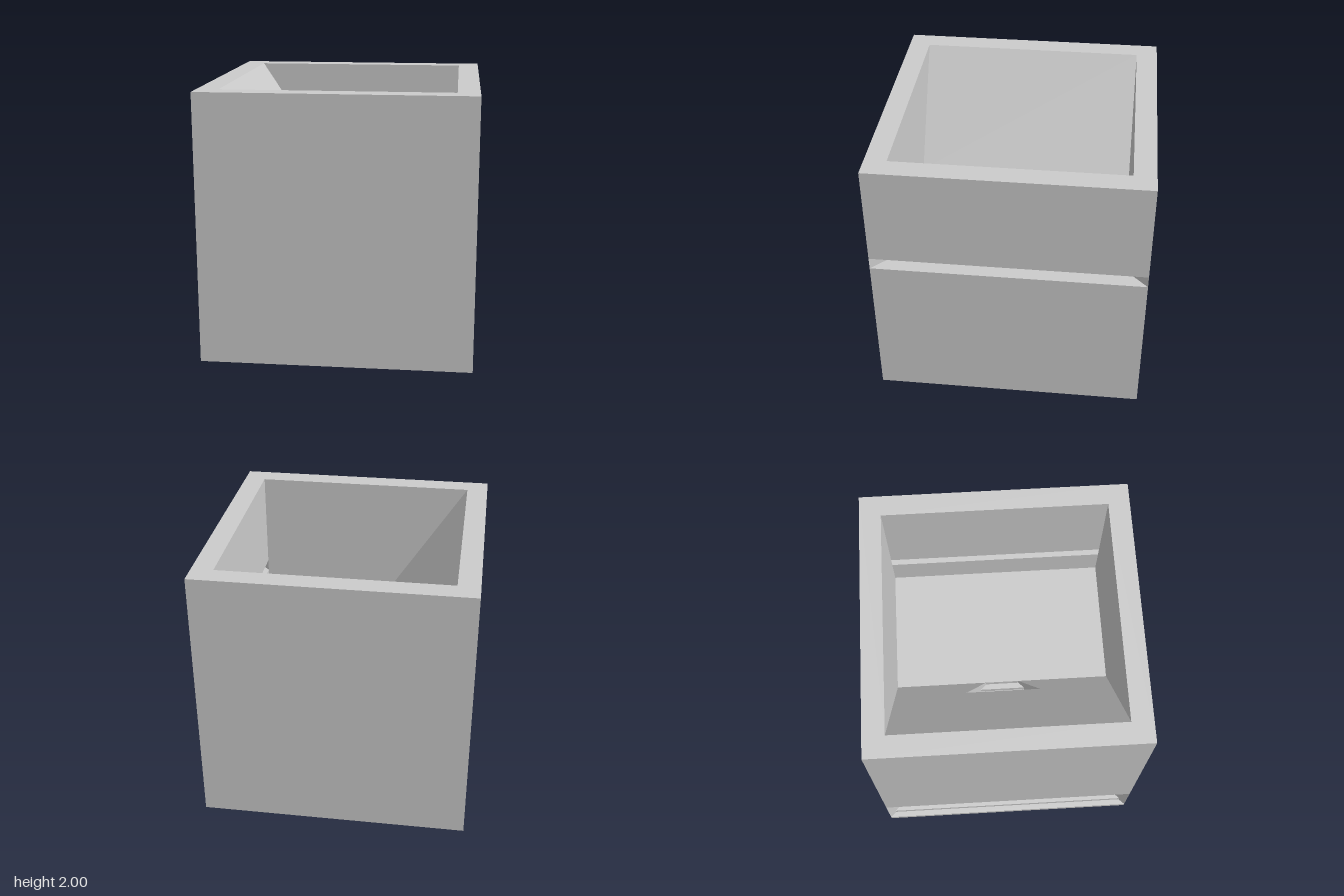
import * as THREE from 'three';

const W = 0.84;                       // half width of the inner chamber
const STEPS = 20, FOOT = -0.13;       // stair runs from x = -1 to FOOT
const R = (1 + FOOT) / STEPS;         // tread depth = riser height
const FLOOR = R * (STEPS + 1);
const DOOR = 0.437;                   // height of the stair opening
const SLOT0 = 1.16, SLOT1 = 1.25;     // slot in the +x wall
const slope = (2 - FLOOR) / (FOOT + W);
const rampY = x => 2 - slope * (x + W);
// where the 45 degree stair ceiling meets the ramp
const XC = (2 - slope * W - DOOR - 1) / (1 + slope);
const YC = rampY(XC);

// Flat convex faces; each is [facing direction, corner, corner, ...]
function part(name, faces) {
  const pos = [];
  for (const [dir, ...corners] of faces) {
    const p = corners.map(c => new THREE.Vector3(...c));
    const n = p[1].clone().sub(p[0]).cross(p[2].clone().sub(p[0]));
    if (n.dot(new THREE.Vector3(...dir)) < 0) p.reverse();
    for (let i = 1; i < p.length - 1; i++)
      for (const v of [p[0], p[i], p[i + 1]]) pos.push(v.x, v.y, v.z);
  }
  const g = new THREE.BufferGeometry();
  g.setAttribute('position', new THREE.Float32BufferAttribute(pos, 3));
  g.computeVertexNormals();
  const mesh = new THREE.Mesh(g, new THREE.MeshStandardMaterial({ color: 0xcccccc, flatShading: true }));
  mesh.name = name;
  return mesh;
}

// Quad mirrored in z, spanning half width z0 at (x0,y0) and z1 at (x1,y1)
const span = (dir, x0, y0, z0, x1, y1, z1) =>
  [dir, [x0, y0, -z0], [x0, y0, z0], [x1, y1, z1], [x1, y1, -z1]];
const upright = (dir, x, y0, y1, z) => span(dir, x, y0, z, x, y1, z);

export function createModel() {
  const group = new THREE.Group();
  const px = [1, 0, 0], nx = [-1, 0, 0], up = [0, 1, 0], down = [0, -1, 0];

  // Outer shell with the slot and stair openings left out
  const shell = [
    span(down, -1, 0, 1, 1, 0, 1),
    upright(px, 1, 0, SLOT0, 1), upright(px, 1, SLOT1, 2, 1),
    upright(nx, -1, DOOR, 2, 1),
  ];
  for (const s of [-1, 1])
    shell.push([[0, 0, s], [-1, 0, s], [1, 0, s], [1, 2, s], [-1, 2, s]]);
  group.add(part('outerShell', shell));

  // Top rim
  const rim = [];
  for (const s of [-1, 1]) {
    rim.push(span(up, s, 2, 1, s * W, 2, W));
    rim.push([up, [-1, 2, s], [1, 2, s], [W, 2, s * W], [-W, 2, s * W]]);
  }
  group.add(part('topRim', rim));

  // Chamber walls and floor
  const chamber = [
    upright(nx, W, FLOOR, SLOT0, W), upright(nx, W, SLOT1, 2, W),
    span(up, FOOT, FLOOR, W, W, FLOOR, W),
  ];
  for (const s of [-1, 1])
    chamber.push([[0, 0, -s], [-W, 2, s * W], [FOOT, FLOOR, s * W], [W, FLOOR, s * W], [W, 2, s * W]]);
  group.add(part('chamber', chamber));

  // Ramp, notched where the stair comes through
  const ramp = [span(up, -W, 2, W, XC, YC, W)];
  for (const s of [-1, 1])
    ramp.push([up, [XC, YC, s * W], [XC, YC, -s * XC], [FOOT, FLOOR, -s * FOOT], [FOOT, FLOOR, s * W]]);
  group.add(part('ramp', ramp));

  // Slot, flaring outwards
  const slot = [span(up, W, SLOT0, W, 1, SLOT0, 1), span(down, W, SLOT1, W, 1, SLOT1, 1)];
  for (const s of [-1, 1])
    slot.push([[1, 0, -s], [W, SLOT0, s * W], [1, SLOT0, s], [1, SLOT1, s], [W, SLOT1, s * W]]);
  group.add(part('slot', slot));

  // Stair narrowing as it climbs
  const stair = [], profile = [];
  for (let k = 0; k <= STEPS; k++) {
    const x = -1 + k * R, y = k * R;
    stair.push(upright(nx, x, y, y + R, -x));
    profile.push(new THREE.Vector2(x, y), new THREE.Vector2(x, y + R));
    if (k < STEPS) stair.push(span(up, x, y + R, -x, x + R, y + R, -x - R));
  }
  group.add(part('stair', stair));

  // Stair passage: sloping ceiling and angled side walls
  profile.push(new THREE.Vector2(XC, YC), new THREE.Vector2(-1, DOOR));
  const passage = [span(down, -1, DOOR, 1, XC, YC, -XC)];
  for (const tri of THREE.ShapeUtils.triangulateShape(profile, []))
    for (const s of [-1, 1])
      passage.push([[-1, 0, -s], ...tri.map(i => [profile[i].x, profile[i].y, -s * profile[i].x])]);
  group.add(part('stairPassage', passage));

  return group;
}
